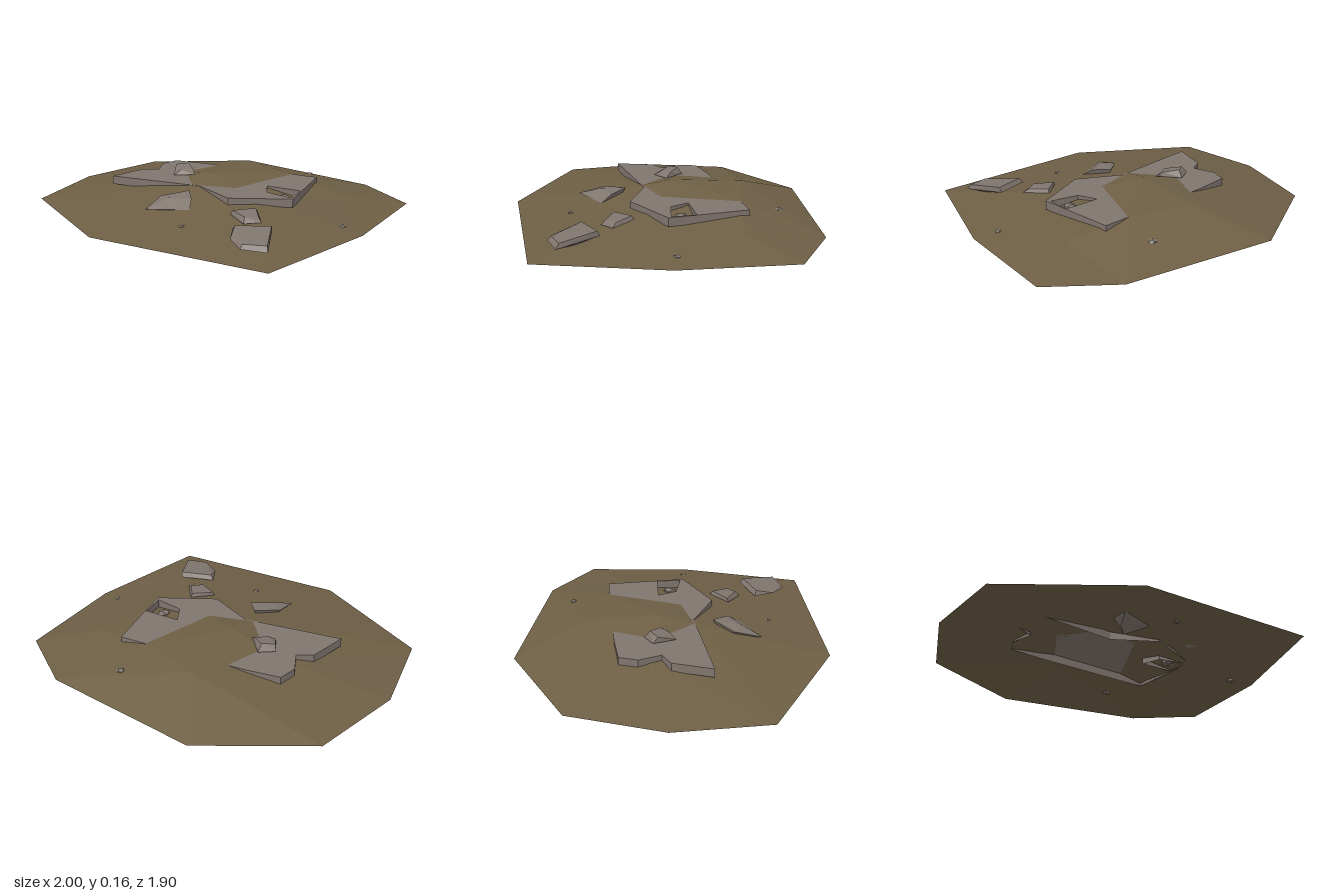
import * as THREE from 'three';
import { ConvexGeometry } from 'three/addons/geometries/ConvexGeometry.js';

const earth = new THREE.MeshStandardMaterial({ color: 0x6e5f45, flatShading: true, side: THREE.DoubleSide });
earth.name = 'earth';
const stone = new THREE.MeshStandardMaterial({ color: 0x80756f, flatShading: true, side: THREE.DoubleSide });
stone.name = 'stone';

function addMesh(group, name, geometry, material) {
  const mesh = new THREE.Mesh(geometry, material);
  mesh.name = name;
  group.add(mesh);
  return mesh;
}

function surface(points, index) {
  const g = new THREE.BufferGeometry();
  g.setAttribute('position', new THREE.Float32BufferAttribute(points.flat(), 3));
  g.setIndex(index);
  const flat = g.toNonIndexed();
  flat.computeVertexNormals();
  return flat;
}

// Low mound: nine-sided rim, six shoulder points and a peak, open underneath
function moundGeometry() {
  const rim = [[-0.36, -0.95], [0.25, -0.88], [0.87, -0.31], [1, 0.06], [0.63, 0.53],
    [0.1, 0.95], [-0.7, 0.42], [-1, -0.23], [-0.76, -0.65]].map(([x, z]) => [x, 0, z]);
  const shoulder = [[0.2, 0.12, -0.48], [0.4, 0.112, -0.2], [0.65, 0.055, 0.05],
    [0.15, 0.085, 0.2], [-0.17, 0.11, -0.04], [-0.28, 0.09, -0.4]];
  const peak = [-0.05, 0.143, -0.16];
  const [B, C, E, D, F, G, A] = [9, 10, 11, 12, 13, 14, 15];
  const tris = [
    [A, C, B], [A, D, C], [C, D, E], [A, F, D], [A, G, F], [A, B, G],
    [0, B, 1], [1, B, 2], [B, C, 2], [C, E, 2], [2, E, 3], [3, E, 4], [E, D, 4],
    [4, D, 5], [5, D, 6], [D, F, 6], [6, F, 7], [F, G, 7], [7, G, 8], [8, G, 0], [G, B, 0],
  ];
  return surface([...rim, ...shoulder, peak], tris.flat());
}

// Vertical wall along a closed outline
function wallGeometry(outline, low, high) {
  const points = [], index = [];
  outline.forEach(([x, z], i) => {
    const j = (i + 1) % outline.length;
    points.push([x, low, z], [x, high, z]);
    index.push(2 * i, 2 * j, 2 * j + 1, 2 * i, 2 * j + 1, 2 * i + 1);
  });
  return surface(points, index);
}

// Broken slab: flat top with a hole, and walls sunk into the mound
function createSlab() {
  const slab = new THREE.Group();
  slab.name = 'brokenSlab';
  const low = 0.065, high = 0.111;
  const outline = [[-0.6, -0.26], [-0.13, -0.02], [0, 0.21], [0.33, 0.26], [0.535, -0.12],
    [0.39, -0.21], [-0.07, -0.48], [-0.23, -0.56], [-0.31, -0.5], [-0.34, -0.38], [-0.43, -0.39]];
  const hole = [[0.235, 0.015], [0.215, 0.125], [0.325, 0.235], [0.395, 0.125]];
  const toVec = ([x, z]) => new THREE.Vector2(x, -z);
  const shape = new THREE.Shape(outline.map(toVec));
  shape.holes.push(new THREE.Path(hole.map(toVec)));
  const top = new THREE.ShapeGeometry(shape).rotateX(-Math.PI / 2).translate(0, high, 0);
  addMesh(slab, 'slabTop', top, stone);
  addMesh(slab, 'slabEdge', wallGeometry(outline, low, high), stone);
  addMesh(slab, 'holeEdge', wallGeometry(hole, low, high), stone);
  return slab;
}

// Angular rocks given by their corner points
const rocks = {
  backRock: [[-0.26, 0.115, -0.23], [-0.24, 0.125, -0.36], [-0.15, 0.12, -0.35], [-0.14, 0.12, -0.21],
    [-0.24, 0.152, -0.33], [-0.17, 0.158, -0.33], [-0.15, 0.145, -0.25], [-0.22, 0.14, -0.24], [-0.2, 0.1, -0.28]],
  sideRock: [[-0.425, 0.062, 0.2], [-0.34, 0.095, 0.08], [-0.19, 0.113, 0.06], [-0.185, 0.1, 0.17],
    [-0.2, 0.06, 0.23], [-0.3, 0.105, 0.15], [-0.22, 0.03, 0.1], [-0.31, 0.035, 0.12], [-0.3, 0.04, 0.18]],
  smallRock: [[0, 0.065, 0.33], [0.05, 0.055, 0.455], [0.14, 0.06, 0.46], [0.14, 0.07, 0.31],
    [0.01, 0.085, 0.33], [0.06, 0.082, 0.43], [0.13, 0.078, 0.43], [0.13, 0.09, 0.32]],
  frontRock: [[-0.01, 0.055, 0.52], [0.175, 0.06, 0.57], [0.12, 0.035, 0.8], [0, 0.04, 0.755],
    [-0.035, 0.05, 0.64], [0, 0.08, 0.54], [0.17, 0.086, 0.585], [0.12, 0.062, 0.78], [0.01, 0.06, 0.74],
    [0.02, 0.033, 0.64], [0.13, 0.033, 0.68]],
};

export function createModel() {
  const model = new THREE.Group();
  model.name = 'rubbleMound';
  addMesh(model, 'mound', moundGeometry(), earth);
  model.add(createSlab());

  for (const [name, corners] of Object.entries(rocks)) {
    addMesh(model, name, new ConvexGeometry(corners.map((p) => new THREE.Vector3(...p))), stone);
  }

  // Pebbles almost buried in the earth
  const pebbles = [[0.54, 0.06, -0.35, 0.024], [0.55, 0.014, 0.43, 0.022],
    [-0.25, 0.031, 0.4, 0.018], [0.3, 0.08, 0.14, 0.035]];
  pebbles.forEach(([x, y, z, r], i) => {
    const pebble = addMesh(model, 'pebble', new THREE.DodecahedronGeometry(r, 0), stone);
    pebble.position.set(x, y, z);
    pebble.scale.y = 0.55;
    pebble.rotation.y = i * 1.3;
  });
  return model;
}
